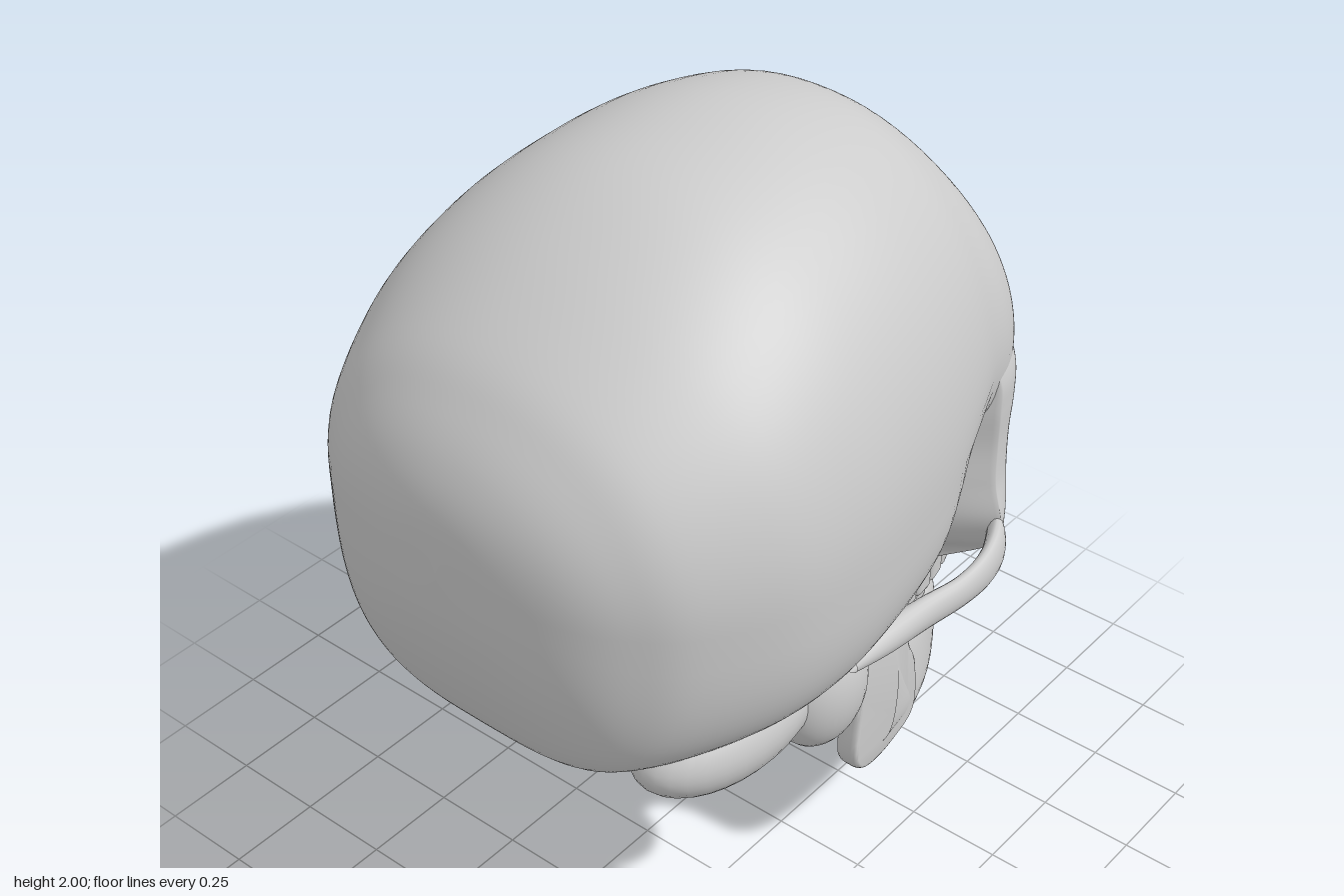
import * as THREE from 'three';
import { mergeVertices, toCreasedNormals } from 'three/addons/utils/BufferGeometryUtils.js';
import { RoundedBoxGeometry } from 'three/addons/geometries/RoundedBoxGeometry.js';

const bone = new THREE.MeshStandardMaterial({ color: 0xcccccc, roughness: 0.8, side: THREE.DoubleSide });
const { lerp, clamp, smoothstep } = THREE.MathUtils;
const V = (x, y, z) => new THREE.Vector3(x, y, z);

// Smooth surface from a function of u and v
function grid(nu, nv, fn) {
  const pos = [], idx = [];
  for (let j = 0; j <= nv; j++) for (let i = 0; i <= nu; i++) pos.push(...fn(i / nu, j / nv));
  for (let j = 0; j < nv; j++) for (let i = 0; i < nu; i++) {
    const a = j * (nu + 1) + i, d = a + nu + 1;
    idx.push(a, a + 1, d, a + 1, d + 1, d);
  }
  let g = new THREE.BufferGeometry();
  g.setAttribute('position', new THREE.Float32BufferAttribute(pos, 3));
  g.setIndex(idx);
  g = mergeVertices(g, 1e-4);
  g.computeVertexNormals();
  return g;
}

// Smoothly interpolated row of a section table
function rowAt(rows, t) {
  const n = rows.length - 1, i = Math.min(Math.floor(t * n), n - 1), f = t * n - i;
  const [a, b, c, d] = [-1, 0, 1, 2].map(k => rows[clamp(i + k, 0, n)]);
  return b.map((_, k) => 0.5 * (2 * b[k] + (c[k] - a[k]) * f + (2 * a[k] - 5 * b[k] + 4 * c[k] - d[k]) * f * f
    + (3 * b[k] - a[k] - 3 * c[k] + d[k]) * f * f * f));
}

function add(parent, name, geometry) {
  const m = new THREE.Mesh(geometry, bone);
  m.name = name;
  parent.add(m);
  return m;
}

function blob(parent, name, p, r) {
  const m = add(parent, name, new THREE.SphereGeometry(1, 32, 20));
  m.position.set(...p);
  m.scale.set(...r);
  return m;
}

// Braincase sections from back to front: z, top, bottom, half width, height of widest point
const CRANIUM = [
  [0.92, 1.28, 1.26, 0, 1.27], [0.91, 1.42, 1.1, 0.17, 1.27], [0.87, 1.53, 0.92, 0.33, 1.26],
  [0.8, 1.63, 0.76, 0.45, 1.25], [0.7, 1.73, 0.725, 0.55, 1.24], [0.5, 1.86, 0.72, 0.65, 1.23],
  [0.3, 1.95, 0.72, 0.68, 1.22], [0.1, 1.99, 0.75, 0.67, 1.22], [-0.1, 1.997, 0.8, 0.64, 1.23],
  [-0.3, 1.96, 0.84, 0.585, 1.25], [-0.42, 1.9, 0.98, 0.54, 1.27], [-0.52, 1.81, 1.12, 0.51, 1.28],
  [-0.62, 1.69, 1.2, 0.45, 1.29], [-0.7, 1.545, 1.22, 0.34, 1.3], [-0.75, 1.42, 1.24, 0.2, 1.3],
  [-0.775, 1.3, 1.28, 0, 1.29]];

function craniumGeometry() {
  return grid(96, 96, (u, v) => {
    const [z, top, bot, w, mid] = rowAt(CRANIUM, u), a = v * Math.PI * 2;
    const c = Math.cos(a), s = Math.sin(a), e = s > 0 ? 2 / 2.1 : 2 / 3.2;
    const y = mid + (s > 0 ? top - mid : bot - mid) * Math.abs(s) ** e;
    // Hollow of the temple
    const dent = 0.26 * Math.exp(-(((z + 0.38) / 0.14) ** 2) - ((y - 0.95) / 0.2) ** 2);
    return [Math.sign(c) * Math.max(w, 0) * Math.abs(c) ** e * (1 - dent), y, z];
  });
}

// Face sections from palate over the gum to the brow:
// y, half width, side z, front z, roundness, then x and z of the edge turned in behind
const FACE = [
  [0.64, 0.02, -0.36, -0.4, 2, 0.02, -0.36], [0.63, 0.15, -0.36, -0.7, 2.3, 0.15, -0.35],
  [0.56, 0.21, -0.36, -0.8, 2.4, 0.21, -0.35], [0.515, 0.24, -0.35, -0.86, 2.4, 0.24, -0.34],
  [0.525, 0.27, -0.34, -0.885, 2.4, 0.24, -0.33], [0.58, 0.285, -0.34, -0.895, 2.4, 0.22, -0.33],
  [0.64, 0.3, -0.36, -0.89, 2.2, 0.2, -0.33], [0.69, 0.38, -0.42, -0.885, 1.6, 0.25, -0.34],
  [0.74, 0.49, -0.48, -0.865, 1.3, 0.34, -0.38], [0.8, 0.55, -0.47, -0.825, 1.3, 0.42, -0.38],
  [0.88, 0.565, -0.45, -0.805, 1.5, 0.46, -0.38], [0.98, 0.54, -0.45, -0.79, 1.8, 0.42, -0.36],
  [1.08, 0.53, -0.46, -0.78, 1.9, 0.4, -0.36], [1.18, 0.53, -0.46, -0.785, 2, 0.4, -0.36],
  [1.26, 0.525, -0.46, -0.785, 2, 0.42, -0.38], [1.33, 0.5, -0.44, -0.765, 2, 0.42, -0.36],
  [1.42, 0.44, -0.4, -0.71, 2, 0.4, -0.34]];

function faceGeometry() {
  return grid(160, 150, (u, v) => {
    const [y, w, side, front, n, xb, zb] = rowAt(FACE, v);
    const s = 1 - 2 * u, k = Math.abs(s), sg = Math.sign(s);
    if (k > 0.85) {
      const f = (k - 0.85) / 0.15;
      return [sg * lerp(w, xb, f), y, lerp(side, zb, f)];
    }
    const q = Math.sin(k / 0.85 * Math.PI / 2), x = w * q;
    let z = side + (front - side) * Math.max(0, 1 - q ** n) ** (1 / n);
    // Nasal bone
    z -= 0.075 * Math.exp(-((x / 0.07) ** 2) - ((y - 1.06) / 0.09) ** 2);
    // Eye sockets
    const d = ((x - 0.28) / 0.19) ** 2 + ((y - 1.07) / 0.16) ** 2;
    z = lerp(z, -0.45 - 0.12 * Math.min(d, 1), 1 - smoothstep(d, 0.65, 1.05));
    // Pear-shaped nose opening
    const ny = (y - 0.885) / 0.115;
    const e = (x / Math.max(0.02, 0.085 - 0.045 * ny)) ** 2 + ny * ny;
    z = lerp(z, -0.56, 1 - smoothstep(e, 0.65, 1.05));
    return [sg * x, y, z];
  });
}

// Cheek arch: flat oval swept from ear to cheekbone (x, y, z, half thickness, half height)
const ARCH = [
  [0.6, 0.88, 0.22, 0.02, 0.02], [0.59, 0.86, 0.08, 0.035, 0.04], [0.595, 0.84, -0.08, 0.03, 0.045],
  [0.61, 0.83, -0.22, 0.025, 0.045], [0.6, 0.825, -0.34, 0.026, 0.055], [0.555, 0.82, -0.45, 0.03, 0.07],
  [0.48, 0.81, -0.53, 0.01, 0.05]];

function archGeometry() {
  return grid(48, 20, (u, v) => {
    const [x, y, z, t, h] = rowAt(ARCH, u), a = v * Math.PI * 2;
    return [x + t * Math.cos(a), y + h * Math.sin(a), z];
  });
}

// Symmetric curve from its left half, starting at the middle
function symmetric(half) {
  const pts = half.map(p => V(...p));
  return new THREE.CatmullRomCurve3([...pts.slice(1).reverse(), ...pts.map((p, i) => i ? V(-p.x, p.y, p.z) : p)]);
}

// Jaw body: oval section stretched between an upper and a lower curve
function jawGeometry() {
  const top = symmetric([[0, 0.35, -0.785], [0.12, 0.35, -0.765], [0.205, 0.37, -0.65], [0.265, 0.42, -0.45], [0.37, 0.5, -0.25]]);
  const low = symmetric([[0, 0, -0.755], [0.11, 0.01, -0.735], [0.205, 0.055, -0.65], [0.315, 0.14, -0.45], [0.42, 0.27, -0.15]]);
  return grid(80, 32, (u, v) => {
    const a = v * Math.PI * 2, c = Math.cos(a), s = Math.sin(a), t = top.getTangent(u);
    const out = V(t.z, 0, -t.x).normalize().multiplyScalar(-1);
    const p = low.getPoint(u).lerp(top.getPoint(u), (1 + Math.sign(s) * Math.abs(s) ** 0.8) / 2);
    return p.addScaledVector(out, 0.052 * Math.sign(c) * Math.abs(c) ** 0.7).toArray();
  });
}

// Upright branch of the jaw: bevelled plate, sheared so its front edge lies further in
function ramusGeometry() {
  const pts = [[0.02, 0.79], [-0.005, 0.55], [0.01, 0.37], [-0.05, 0.3], [-0.25, 0.215], [-0.4, 0.2], [-0.39, 0.36],
    [-0.33, 0.47], [-0.305, 0.6], [-0.325, 0.77], [-0.28, 0.75], [-0.16, 0.725], [-0.06, 0.765]];
  const curve = new THREE.CatmullRomCurve3(pts.map(p => V(p[0], p[1], 0)), true);
  const shape = new THREE.Shape(curve.getPoints(78).slice(0, -1).map(p => new THREE.Vector2(p.x, p.y)));
  const g = new THREE.ExtrudeGeometry(shape, { depth: 0.025, bevelThickness: 0.02, bevelSize: 0.012, bevelSegments: 3 });
  g.rotateY(-Math.PI / 2);
  const p = g.attributes.position;
  for (let i = 0; i < p.count; i++) p.setX(i, p.getX(i) + 0.47 + 0.28 * p.getZ(i));
  return toCreasedNormals(g, 0.8);
}

// Row of teeth along an arch; gum and tip give heights at the front and the back
function teeth(parent, name, half, gum, tip) {
  const row = new THREE.Group();
  row.name = name;
  parent.add(row);
  const curve = symmetric(half.map(([x, z]) => [x, 0, z]));
  const count = 16, w = curve.getLength() / count;
  for (let i = 0; i < count; i++) {
    const u = (i + 0.5) / count, back = Math.abs(2 * u - 1);
    const a = lerp(gum[0], gum[1], back), b = lerp(tip[0], tip[1], back);
    const t = curve.getTangentAt(u);
    const tooth = add(row, 'tooth', new RoundedBoxGeometry(w * 0.95, Math.abs(a - b) + 0.03, lerp(0.045, 0.095, back), 3, 0.018));
    tooth.position.copy(curve.getPointAt(u)).setY((a + b) / 2 + Math.sign(a - b) * 0.015);
    tooth.rotation.y = Math.atan2(-t.z, t.x);
  }
}

export function createModel() {
  const model = new THREE.Group();
  model.name = 'skull';
  add(model, 'cranium', craniumGeometry());
  add(model, 'face', faceGeometry());
  blob(model, 'skullBase', [0, 0.85, -0.33], [0.3, 0.12, 0.2]);
  add(model, 'noseSeptum', new RoundedBoxGeometry(0.016, 0.2, 0.16, 2, 0.007)).position.set(0, 0.87, -0.64);

  const jaw = new THREE.Group();
  jaw.name = 'lowerJaw';
  model.add(jaw);
  add(jaw, 'jawBody', jawGeometry());

  // Paired parts
  const arch = archGeometry(), ramus = ramusGeometry();
  for (const side of [1, -1]) {
    const half = new THREE.Group();
    half.name = side > 0 ? 'leftParts' : 'rightParts';
    half.scale.x = side;
    model.add(half);
    add(half, 'cheekArch', arch);
    add(half, 'jawBranch', ramus);
    blob(half, 'jawJoint', [0.45, 0.775, -0.005], [0.08, 0.032, 0.035]);
    blob(half, 'mastoid', [0.49, 0.75, 0.19], [0.105, 0.17, 0.14]);
    blob(half, 'baseRidge', [0.4, 0.77, 0.42], [0.16, 0.14, 0.3]);
    add(half, 'palateWing', new RoundedBoxGeometry(0.06, 0.28, 0.06, 3, 0.025)).position.set(0.245, 0.66, -0.33);
  }

  teeth(model, 'upperTeeth', [[0, -0.878], [0.1, -0.855], [0.19, -0.76], [0.24, -0.6], [0.262, -0.36]], [0.52, 0.52], [0.4, 0.455]);
  teeth(jaw, 'lowerTeeth', [[0, -0.808], [0.09, -0.795], [0.175, -0.7], [0.225, -0.55], [0.26, -0.36]], [0.34, 0.43], [0.415, 0.48]);
  return model;
}
